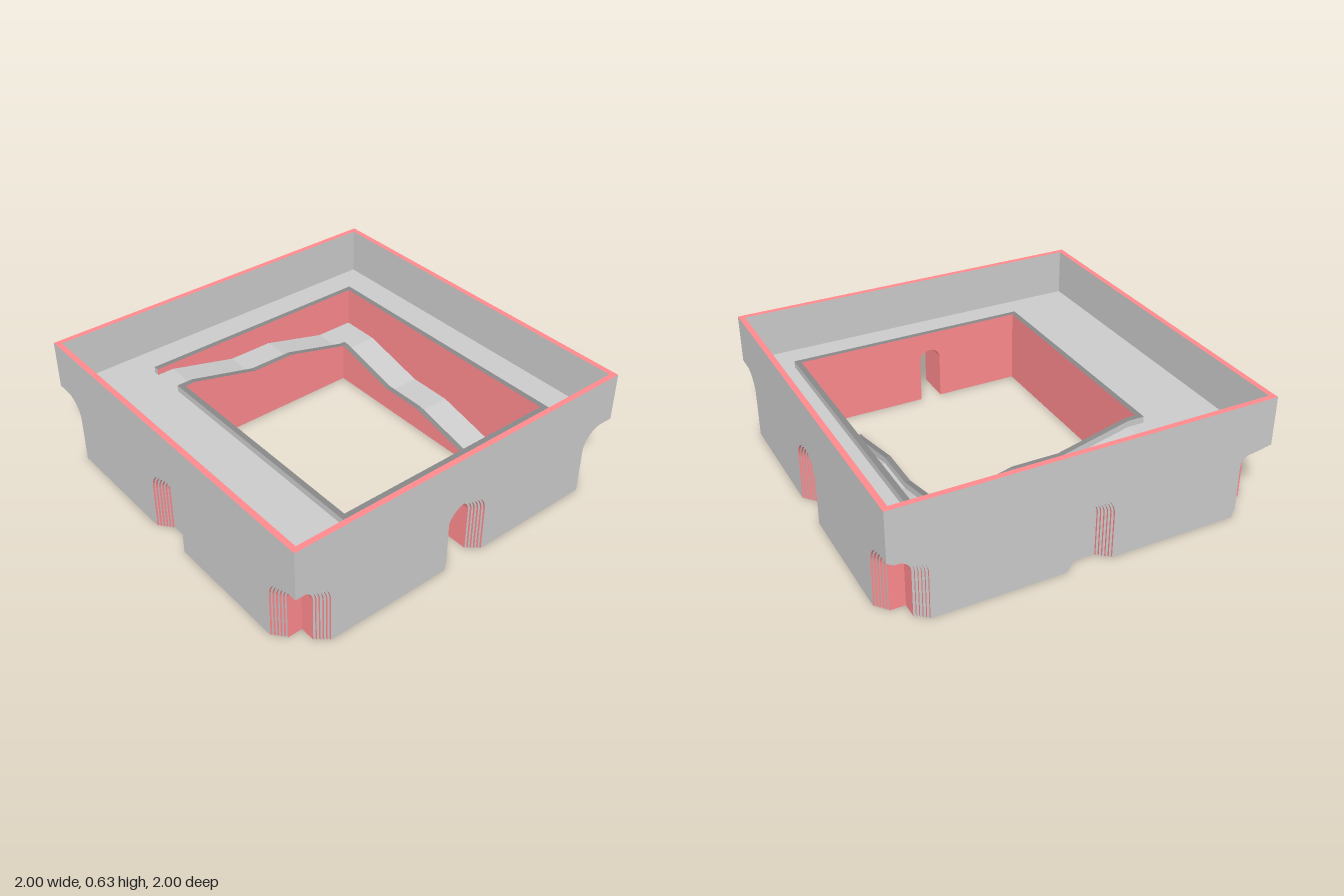
import * as THREE from 'three';

const FLOOR = 0.375, LAYER_TOP = 0.37, WALL_TOP = 0.63, SPRING = 0.245, RAIL = 0.035;
const materials = {
  grey: new THREE.MeshStandardMaterial({ color: 0xcccccc, side: THREE.DoubleSide }),
  red: new THREE.MeshStandardMaterial({ color: 0xff8a8e, side: THREE.DoubleSide }),
  dark: new THREE.MeshStandardMaterial({ color: 0x888888, side: THREE.DoubleSide }),
};

// Splits a geometry into one mesh per colour; pick(normal, centre) names the colour of a triangle
function paint(name, geometry, pick) {
  const geo = geometry.index ? geometry.toNonIndexed() : geometry;
  const pos = geo.attributes.position;
  const lists = { grey: [], red: [], dark: [] };
  const tri = new THREE.Triangle(), n = new THREE.Vector3(), c = new THREE.Vector3();
  for (let i = 0; i < pos.count; i += 3) {
    tri.setFromAttributeAndIndices(pos, i, i + 1, i + 2);
    if (tri.getArea() < 1e-10) continue;
    tri.getNormal(n);
    tri.getMidpoint(c);
    lists[pick(n, c)].push(...tri.a.toArray(), ...tri.b.toArray(), ...tri.c.toArray());
  }
  const group = new THREE.Group();
  group.name = name;
  for (const [colour, list] of Object.entries(lists)) {
    if (!list.length) continue;
    const part = new THREE.BufferGeometry();
    part.setAttribute('position', new THREE.Float32BufferAttribute(list, 3));
    part.computeVertexNormals();
    const mesh = new THREE.Mesh(part, materials[colour]);
    mesh.name = `${name} ${colour}`;
    group.add(mesh);
  }
  return group;
}

const extrude = (shape, depth) =>
  new THREE.ExtrudeGeometry(shape, { depth, bevelEnabled: false, curveSegments: 14 });

function rectangle(x0, y0, x1, y1, Type = THREE.Shape) {
  const s = new Type();
  s.moveTo(x0, y0);
  s.lineTo(x1, y0);
  s.lineTo(x1, y1);
  s.lineTo(x0, y1);
  s.closePath();
  return s;
}

// Facade outline with half arches at both corners and an optional arch in the middle
function facadeShape(width, r, hasMiddle) {
  const s = new THREE.Shape();
  s.moveTo(-0.93 + r, 0);
  if (hasMiddle) {
    s.lineTo(-r, 0);
    s.absarc(0, SPRING, r, Math.PI, 0, true);
    s.lineTo(r, 0);
  }
  s.lineTo(0.93 - r, 0);
  s.absarc(0.93, SPRING, r, Math.PI, Math.PI / 2, true);
  s.lineTo(width, SPRING + r);
  s.lineTo(width, LAYER_TOP);
  s.lineTo(-width, LAYER_TOP);
  s.lineTo(-width, SPRING + r);
  s.absarc(-0.93, SPRING, r, Math.PI / 2, 0, true);
  s.closePath();
  return s;
}

// One side of the base: six thin stepped layers, then a thick one reaching the pit
function facade(name, angle, thickness, isTunnel, isMitred) {
  const side = new THREE.Group();
  side.name = name;
  for (let k = 0; k <= 6; k++) {
    const inner = k === 6;
    const depth = inner ? thickness : 0.01;
    const width = 1 - 0.01 * (isMitred && !inner ? k + 1 : k);
    const geo = extrude(facadeShape(width, 0.12 - 0.012 * Math.min(k, 5), !inner || isTunnel), depth);
    geo.translate(0, 0, 1 - 0.01 * k - depth);
    side.add(paint(inner ? 'innerBlock' : 'archStep', geo, (n, c) => {
      if (Math.abs(n.z) > 0.9) return inner && n.z < 0 ? 'red' : 'grey';
      return c.y < 0.001 || Math.abs(c.x) > width - 0.001 ? 'grey' : 'red';
    }));
  }
  side.rotation.y = angle;
  return side;
}

// Ramp profile: points [distance, height]; either solid to the ground or a rail band
function rampShape(points, isRail) {
  const lift = isRail ? RAIL : 0;
  const top = points.map(([u, y]) => new THREE.Vector2(u, y + lift));
  const base = isRail
    ? points.map(([u, y]) => new THREE.Vector2(u, y)).reverse()
    : [new THREE.Vector2(points[points.length - 1][0], 0), new THREE.Vector2(points[0][0], 0)];
  return new THREE.Shape([...top, ...base]);
}

export function createModel() {
  const model = new THREE.Group();
  model.name = 'sunkenCourt';

  // Base sides with stepped arches; the +x one is tunnelled through to the pit
  model.add(
    facade('frontSide', 0, 0.41, false, false),
    facade('leftSide', Math.PI / 2, 0.19, true, true),
    facade('backSide', Math.PI, 0.19, false, false),
    facade('rightSide', -Math.PI / 2, 0.19, false, true),
  );

  // Upper perimeter wall with a coloured rim
  const ring = rectangle(-1, -1, 1, 1);
  ring.holes.push(rectangle(-0.97, -0.97, 0.97, 0.97, THREE.Path));
  const wall = extrude(ring, WALL_TOP - LAYER_TOP).rotateX(-Math.PI / 2).translate(0, LAYER_TOP, 0);
  model.add(paint('perimeterWall', wall, (n) => (n.y > 0.9 ? 'red' : 'grey')));

  // Terrace floor around the pit
  const terrace = rectangle(-0.97, -0.97, 0.97, 0.97);
  terrace.holes.push(rectangle(-0.75, -0.53, 0.75, 0.75, THREE.Path));
  const floor = new THREE.ShapeGeometry(terrace).rotateX(-Math.PI / 2).translate(0, FLOOR, 0);
  model.add(paint('terraceFloor', floor, () => 'grey'));

  // Low parapet: dark on top, coloured towards the pit
  const railColour = (n, c) => {
    if (n.y > 0.7) return 'dark';
    return n.x * (0.1 - c.x) - n.z * c.z > 0.1 ? 'red' : 'grey';
  };
  const parapets = [
    [-0.78, -0.78, -0.75, 0.56],
    [-0.75, -0.78, 0.78, -0.75],
    [0.75, -0.75, 0.78, 0.56],
    [-0.56, 0.53, 0.75, 0.56],
  ];
  for (const [x0, z0, x1, z1] of parapets) {
    const box = new THREE.BoxGeometry(x1 - x0, RAIL + 0.005, z1 - z0);
    box.translate((x0 + x1) / 2, FLOOR + (RAIL - 0.005) / 2, (z0 + z1) / 2);
    model.add(paint('parapet', box, railColour));
  }

  // Two ramp flights with landings, descending round the pit
  const h = [FLOOR, FLOOR * 0.75, FLOOR * 0.5, FLOOR * 0.25, 0];
  const slope = (start, end, a, b, c) =>
    [[start, a], [-0.47 - (a < FLOOR ? 0.06 : 0), a], [a < FLOOR ? -0.16 : -0.09, b],
      [a < FLOOR ? 0.09 : 0.16, b], [a < FLOOR ? 0.47 : 0.53, c], [end, c]];
  const upper = (start, end) => slope(start, end, h[0], h[1], h[2]);
  const lower = (start, end) => slope(start, end, h[2], h[3], h[4]);
  const alongZ = (geo) => geo.rotateY(Math.PI / 2);

  const upperRamp = alongZ(extrude(rampShape(upper(-0.53, 0.75), false), 0.22).translate(0, 0, -0.75));
  model.add(paint('upperRamp', upperRamp, (n) => (n.x > 0.9 ? 'red' : 'grey')));
  const lowerRamp = extrude(rampShape(lower(-0.75, 0.471), false), 0.22).translate(0, 0, -0.75);
  model.add(paint('lowerRamp', lowerRamp, (n) => (n.z > 0.9 ? 'red' : 'grey')));

  // Rails along the inner edge of the ramp
  const upperRail = alongZ(extrude(rampShape(upper(-0.56, 0.56), true), 0.03).translate(0, 0, -0.56));
  model.add(paint('upperRampRail', upperRail, railColour));
  const lowerRail = extrude(rampShape(lower(-0.56, 0.5), true), 0.03).translate(0, 0, -0.56);
  model.add(paint('lowerRampRail', lowerRail, railColour));

  return model;
}
